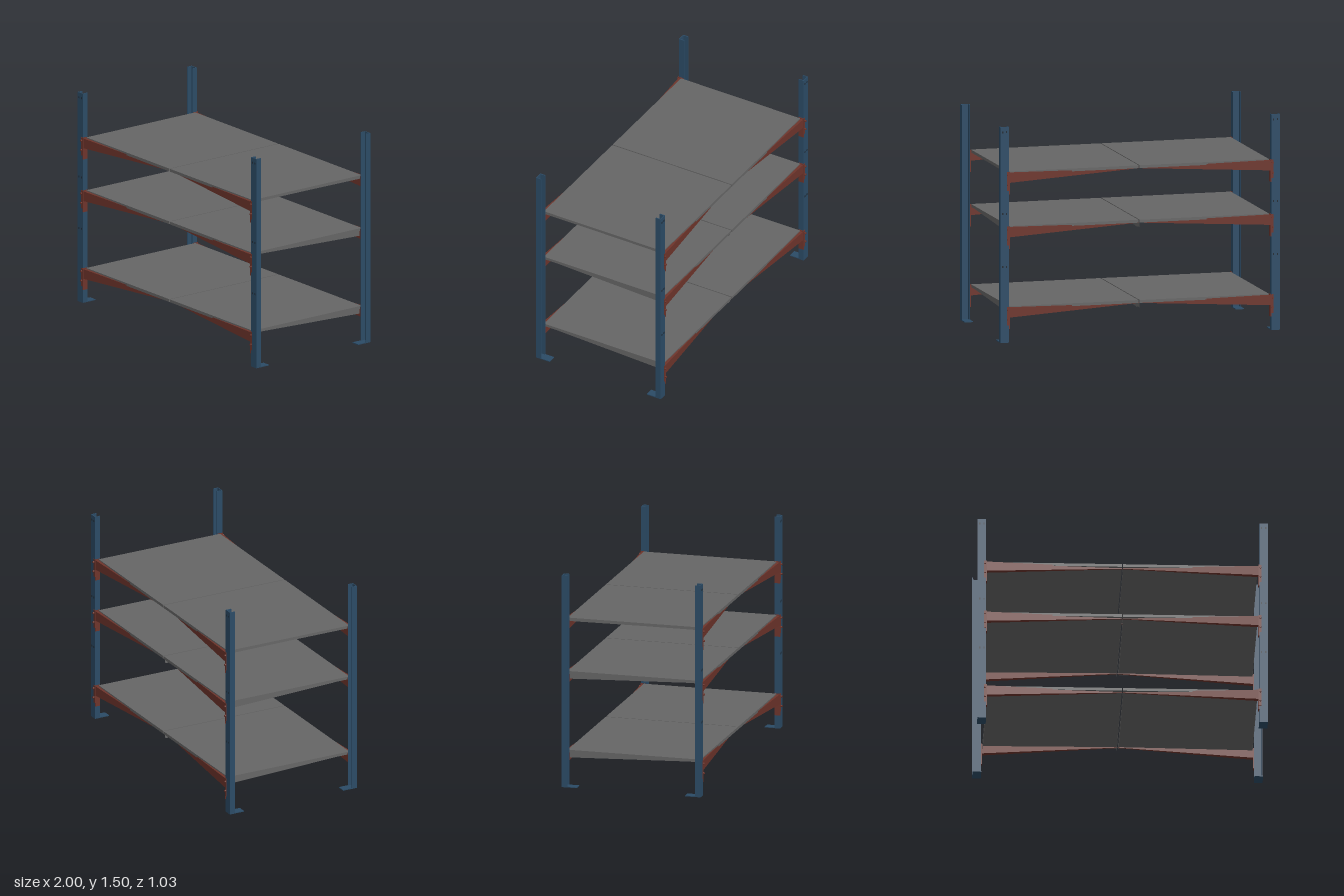
import * as THREE from 'three';

const mat = (name, color, side = THREE.FrontSide) => {
  const m = new THREE.MeshStandardMaterial({ color, side });
  m.name = name;
  return m;
};

export function createModel() {
  const blue = mat('blue steel', 0x2b4b66);
  const red = mat('rust red steel', 0x6e342b);
  const grey = mat('grey panel', 0x666666, THREE.DoubleSide);
  const dark = mat('dark hole', 0x1c2731);

  const rack = new THREE.Group();
  rack.name = 'shelvingRack';

  const add = (parent, name, geometry, material, x = 0, y = 0, z = 0) => {
    const mesh = new THREE.Mesh(geometry, material);
    mesh.name = name;
    mesh.position.set(x, y, z);
    parent.add(mesh);
    return mesh;
  };
  const box = (parent, name, material, w, h, d, x, y, z) =>
    add(parent, name, new THREE.BoxGeometry(w, h, d), material, x, y, z);

  const levels = [0.25, 0.81, 1.19]; // top of each shelf
  const height = 1.505;

  // U-shaped upright, open towards the middle of the rack
  const channel = new THREE.Shape([
    [-0.03, -0.02], [0.03, -0.02], [0.03, 0.02], [0.024, 0.02],
    [0.024, -0.014], [-0.024, -0.014], [-0.024, 0.02], [-0.03, 0.02],
  ].map(([x, y]) => new THREE.Vector2(x, y)));
  const postGeometry = new THREE.ExtrudeGeometry(channel, { depth: height, bevelEnabled: false });
  postGeometry.rotateX(-Math.PI / 2);

  // Corner posts with feet and punched holes
  for (const sx of [-1, 1]) {
    for (const sz of [-1, 1]) {
      const corner = new THREE.Group();
      corner.name = `${sz > 0 ? 'front' : 'back'}${sx > 0 ? 'Left' : 'Right'}Post`;
      rack.add(corner);
      const post = add(corner, 'upright', postGeometry, blue, sx * 0.97, 0, sz * 0.478);
      if (sz < 0) post.rotation.y = Math.PI;
      box(corner, 'footPlate', blue, 0.06, 0.006, 0.11, sx * 0.97, 0.003, sz * 0.443);
      for (const y of [0.53, 0.9, 1.47]) {
        for (const dx of [-0.014, 0.014]) {
          box(corner, 'punchedHole', dark, 0.008, 0.014, 0.002, sx * 0.97 + dx, y, sz * 0.498);
        }
      }
    }
  }

  // Half beam: a box that narrows from the post to the middle of the span
  const halfBeam = (sx, sz, top) => {
    const geometry = new THREE.BoxGeometry(1, 1, 1).toNonIndexed();
    const p = geometry.attributes.position;
    for (let i = 0; i < p.count; i++) {
      const atPost = p.getX(i) * sx > 0;
      const upper = p.getY(i) > 0;
      const outer = p.getZ(i) * sz > 0;
      const y = atPost ? (upper ? -0.006 : -0.076) : (upper ? -0.019 : -0.024);
      const z = atPost ? (outer ? 0.497 : 0.462) : (outer ? 0.452 : 0.444);
      p.setXYZ(i, sx * (atPost ? 0.94 : 0.002), top + y, sz * z);
    }
    geometry.computeVertexNormals();
    return geometry;
  };

  levels.forEach((top, level) => {
    const shelf = new THREE.Group();
    shelf.name = ['lowerShelf', 'middleShelf', 'upperShelf'][level];
    rack.add(shelf);

    for (const sx of [-1, 1]) {
      // Two deck panels with a narrow gap between them
      box(shelf, 'deckPanel', grey, 0.926, 0.02, 0.95, sx * 0.467, top - 0.01, 0);

      // Folded lips that deepen towards the back
      const depth = level === 2 ? 0.006 : 0.036;
      const lip = new THREE.Shape([
        new THREE.Vector2(0.46, -0.018), new THREE.Vector2(-0.46, -0.018),
        new THREE.Vector2(-0.46, -0.018 - depth),
      ]);
      for (const x of [0.006, 0.928]) {
        add(shelf, 'panelLip', new THREE.ShapeGeometry(lip), grey, sx * x, top, 0)
          .rotation.y = -Math.PI / 2;
      }

      for (const sz of [-1, 1]) {
        add(shelf, 'beamHalf', halfBeam(sx, sz, top), red);

        // Angle bracket gripping the post
        box(shelf, 'bracketSide', red, 0.007, 0.155, 0.038, sx * 0.937, top - 0.078, sz * 0.481);
        box(shelf, 'bracketFace', red, 0.02, 0.13, 0.005, sx * 0.944, top - 0.065, sz * 0.4995);

        // Bolts
        for (const dy of [0.022, 0.09]) {
          const bolt = add(shelf, 'bolt', new THREE.CylinderGeometry(0.007, 0.007, 0.012, 8),
            red, sx * 0.948, top - dy, sz * 0.507);
          bolt.rotation.x = Math.PI / 2;
        }
      }
    }
  });

  return rack;
}
